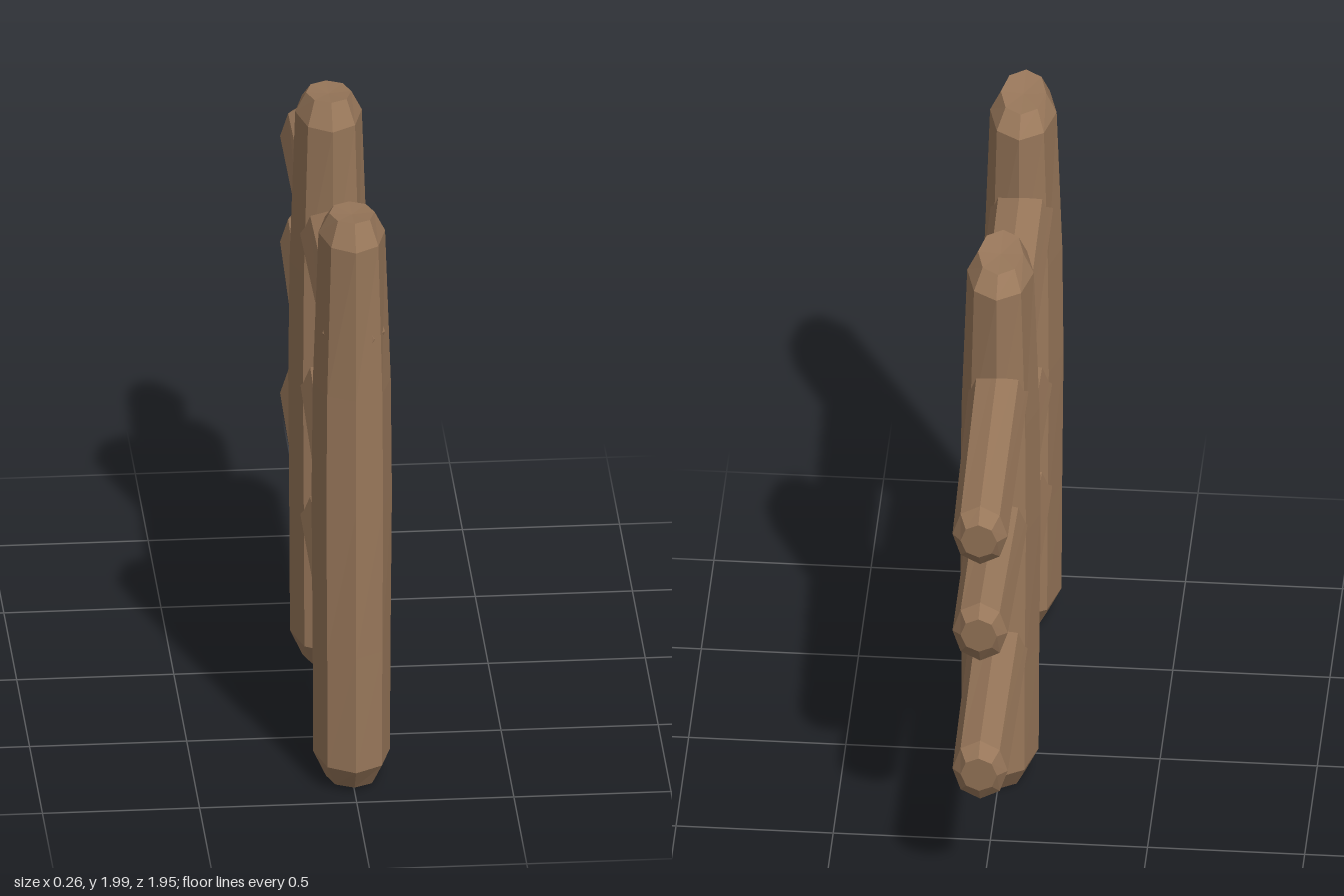
import * as THREE from 'three';

const SIDES = 8;

// Hewn log along +y: rings of [y, halfX, halfZ, centreZ, tilt], closed with fans at both ends.
function log(rings, dip) {
  const pos = [];
  const point = ([y, rx, rz, cz = 0, tilt = 0], i) => {
    const a = (i / SIDES) * Math.PI * 2;
    return [Math.sin(a) * rx, y + Math.cos(a) * tilt, cz + Math.cos(a) * rz];
  };
  const tri = (a, b, c) => pos.push(...a, ...b, ...c);
  const first = rings[0], last = rings[rings.length - 1];
  const bottom = [0, first[0] + dip, first[3] || 0];
  const top = [0, last[0] - dip, last[3] || 0];
  for (let i = 0; i < SIDES; i++) {
    for (let r = 0; r < rings.length - 1; r++) {
      const a = point(rings[r], i), b = point(rings[r], i + 1);
      const c = point(rings[r + 1], i + 1), d = point(rings[r + 1], i);
      tri(a, b, c);
      tri(a, c, d);
    }
    tri(bottom, point(first, i + 1), point(first, i));
    tri(top, point(last, i), point(last, i + 1));
  }
  const geo = new THREE.BufferGeometry();
  geo.setAttribute('position', new THREE.Float32BufferAttribute(pos, 3));
  geo.computeVertexNormals(); // unshared corners give flat facets
  return geo;
}

export function createModel() {
  const group = new THREE.Group();
  group.name = 'woodenFence';
  const wood = new THREE.MeshStandardMaterial({ color: 0x98775a });
  wood.name = 'brown wood';

  const add = (name, geo) => {
    const mesh = new THREE.Mesh(geo, wood);
    mesh.name = name;
    group.add(mesh);
    return mesh;
  };

  // Upright posts, slightly bulging, with chamfered ends
  const postGeo = log([
    [0.015, 0.082, 0.11, 0, 0.006],
    [0.1, 0.122, 0.177, -0.005],
    [0.5, 0.124, 0.175, -0.005],
    [1.0, 0.128, 0.167],
    [1.4, 0.124, 0.163, 0.003],
    [1.92, 0.106, 0.168, 0.002],
    [1.988, 0.072, 0.11, 0.008, 0.012],
  ], 0.006);
  add('frontPost', postGeo).position.z = 0.805;
  add('backPost', postGeo).position.z = -0.1;

  // Rails run through both posts; heights are at the front, middle and free end
  const rails = [
    ['topRail', 1.6, 1.53, 1.455],
    ['middleRail', 0.925, 1.005, 1.085],
    ['bottomRail', 0.548, 0.55, 0.555],
  ];
  for (const [name, y0, y1, y2] of rails) {
    const slope = (y2 - y1) / 0.9;
    const geo = log([
      [-0.94, 0.06, 0.06, y0],
      [-0.88, 0.1, 0.119, y0],
      [0, 0.097, 0.112, y1],
      [0.905, 0.088, 0.111, y2],
      [0.958, 0.058, 0.07, y2 + 0.016 + slope * 0.05, 0.012],
    ], 0);
    geo.rotateX(-Math.PI / 2);
    add(name, geo);
  }
  return group;
}
